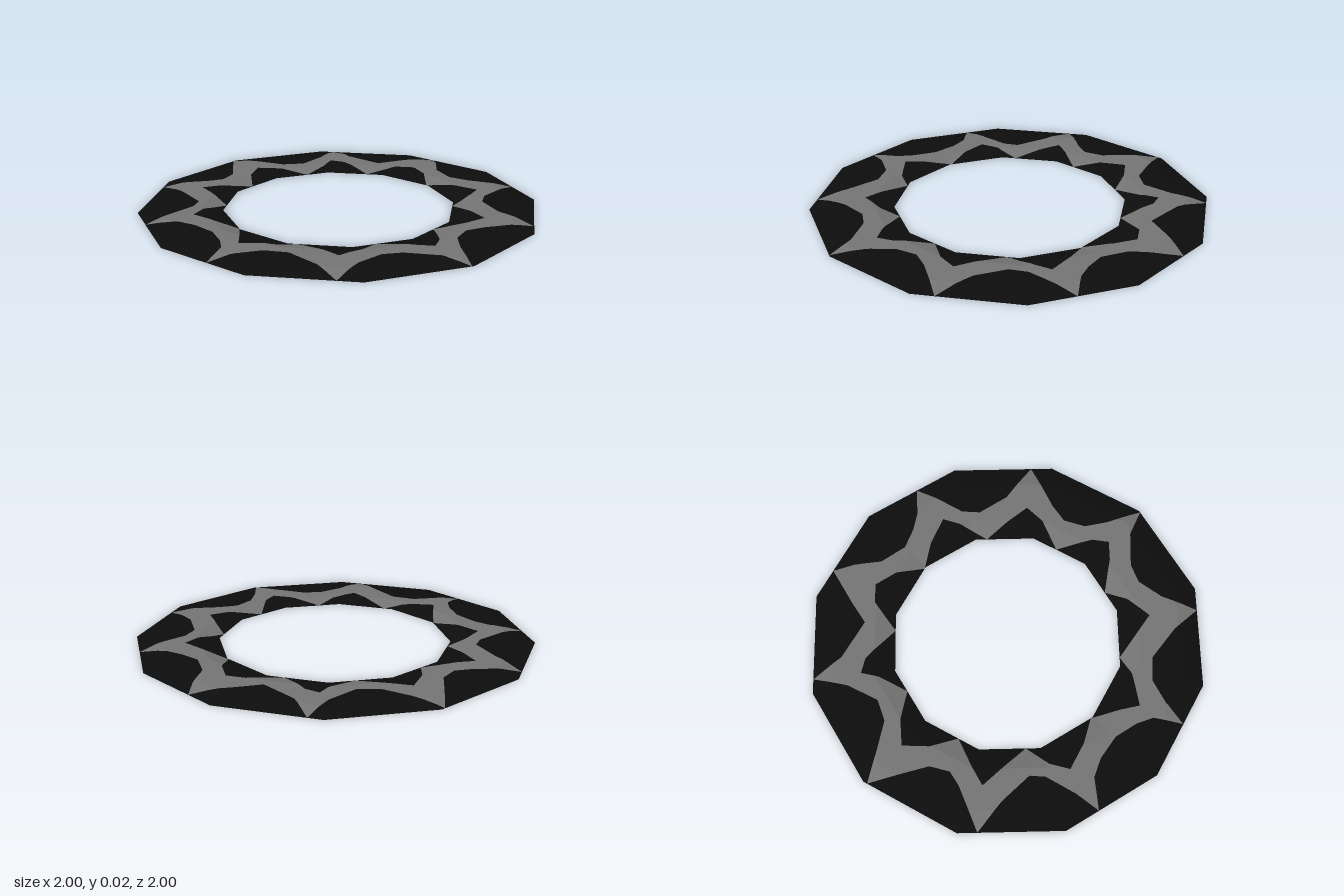
import * as THREE from 'three';

const SIDES = 12, INNER = 0.58;
const STEP = Math.PI * 2 / SIDES, TURN = Math.PI * 2;

// Radius of the unit twelve-sided outline at an angle
const outline = a => {
  const t = ((a % STEP) + STEP) % STEP - STEP / 2;
  return Math.cos(STEP / 2) / Math.cos(t);
};

// Shallow raised cross-section: rises from both rims to a flat crown
const LOW = 0.685, HIGH = 0.895, HEIGHT = 0.02;
const height = s => HEIGHT * Math.min(1, (s - INNER) / (LOW - INNER), (1 - s) / (1 - HIGH));

// Zigzag edges as x, z pairs in hundredths, going once around
const OUTER_EDGE = [
  100, 1, 86, 6, 73, 18, 69, 27, 71, 41, 78, 58, 62, 57, 43, 59, 34, 67, 30, 79, 28, 92,
  20, 80, 12, 76, 0, 73, -13, 75, -22, 79, -32, 91, -34, 78, -38, 62, -43, 56, -61, 55, -80, 57,
  -70, 35, -68, 27, -73, 18, -88, 9, -99, 2, -85, -6, -72, -14, -67, -24, -72, -40, -81, -55,
  -64, -53, -43, -58, -40, -71, -34, -90, -25, -85, -14, -76, 0, -73, 10, -77, 18, -82, 28, -93,
  31, -82, 35, -66, 41, -59, 57, -55, 79, -58, 70, -34, 68, -24, 73, -14, 83, -7];
const INNER_EDGE = [
  75, 1, 68, 8, 62, 12, 53, 18, 58, 29, 59, 43, 46, 45, 33, 48, 30, 57, 20, 71, 11, 65,
  -1, 58, -13, 64, -27, 68, -32, 59, -34, 45, -48, 44, -62, 43, -59, 33, -53, 18, -66, 11,
  -75, 1, -66, -9, -53, -17, -58, -32, -63, -40, -56, -44, -35, -44, -32, -62, -25, -69, -13, -66,
  -1, -58, 11, -65, 25, -70, 29, -62, 33, -46, 46, -45, 60, -43, 60, -32, 53, -16, 62, -11, 70, -6];

// Convert an edge to sorted [angle, fraction of outline radius], snapping tips to the rims
function polar(edge) {
  const keys = [];
  for (let i = 0; i < edge.length; i += 2) {
    const a = (Math.atan2(edge[i + 1], edge[i]) + TURN) % TURN;
    const s = Math.hypot(edge[i], edge[i + 1]) / 100 / outline(a);
    keys.push([a, s > 0.96 ? 1 : s < 0.6 ? INNER : s]);
  }
  return keys.sort((p, q) => p[0] - q[0]);
}

// Straight-line interpolation of an edge at any angle
function sample(keys, angle) {
  const n = keys.length, a = angle % TURN;
  let i = keys.findIndex(k => k[0] > a);
  if (i < 0) i = 0;
  const p = keys[(i + n - 1) % n], q = keys[i];
  const span = (q[0] - p[0] + TURN) % TURN;
  const t = ((a - p[0] + TURN) % TURN) / span;
  const rp = p[1] * outline(p[0]), rq = q[1] * outline(q[0]);
  const r = rp * rq * Math.sin(span) / (rq * Math.sin(span * (1 - t)) + rp * Math.sin(span * t));
  return Math.min(1, Math.max(INNER, r / outline(a)));
}

// Surface strip between two edge functions, folded along the crown lines
function strip(name, material, angles, from, to) {
  const rows = angles.map(a => {
    const lo = from(a), hi = Math.max(lo, to(a));
    return [lo, Math.min(hi, Math.max(lo, LOW)), Math.min(hi, Math.max(lo, HIGH)), hi].map(s => {
      const r = s * outline(a);
      return new THREE.Vector3(r * Math.cos(a), height(s), r * Math.sin(a));
    });
  });
  const pos = [];
  const tri = (a, b, c) => {
    const area = b.clone().sub(a).cross(c.clone().sub(a)).length();
    if (area > 1e-8) for (const v of [a, b, c]) pos.push(v.x, v.y, v.z);
  };
  rows.forEach((row, i) => {
    const next = rows[(i + 1) % rows.length];
    for (let j = 0; j < 3; j++) {
      tri(row[j], next[j], row[j + 1]);
      tri(row[j + 1], next[j], next[j + 1]);
    }
  });
  const geo = new THREE.BufferGeometry();
  geo.setAttribute('position', new THREE.Float32BufferAttribute(pos, 3));
  geo.computeVertexNormals();
  const mesh = new THREE.Mesh(geo, material);
  mesh.name = name;
  return mesh;
}

export function createModel() {
  const black = new THREE.MeshStandardMaterial({ color: 0x0d0d0d, side: THREE.DoubleSide });
  black.name = 'black';
  const grey = new THREE.MeshStandardMaterial({ color: 0x757575, side: THREE.DoubleSide });
  grey.name = 'grey';

  const outerKeys = polar(OUTER_EDGE), innerKeys = polar(INNER_EDGE);
  const outer = a => sample(outerKeys, a), inner = a => sample(innerKeys, a);

  // Every corner of the outline and both zigzags gets its own column
  const all = [...outerKeys, ...innerKeys].map(k => k[0]);
  for (let i = 0; i < 180; i++) all.push(i * TURN / 180);
  const angles = all.sort((a, b) => a - b).filter((a, i) => i === 0 || a - all[i - 1] > 1e-6);

  const group = new THREE.Group();
  group.name = 'ring';
  group.add(
    strip('outerBorder', black, angles, outer, () => 1),
    strip('zigzagBand', grey, angles, inner, outer),
    strip('innerBorder', black, angles, () => INNER, inner));
  return group;
}
